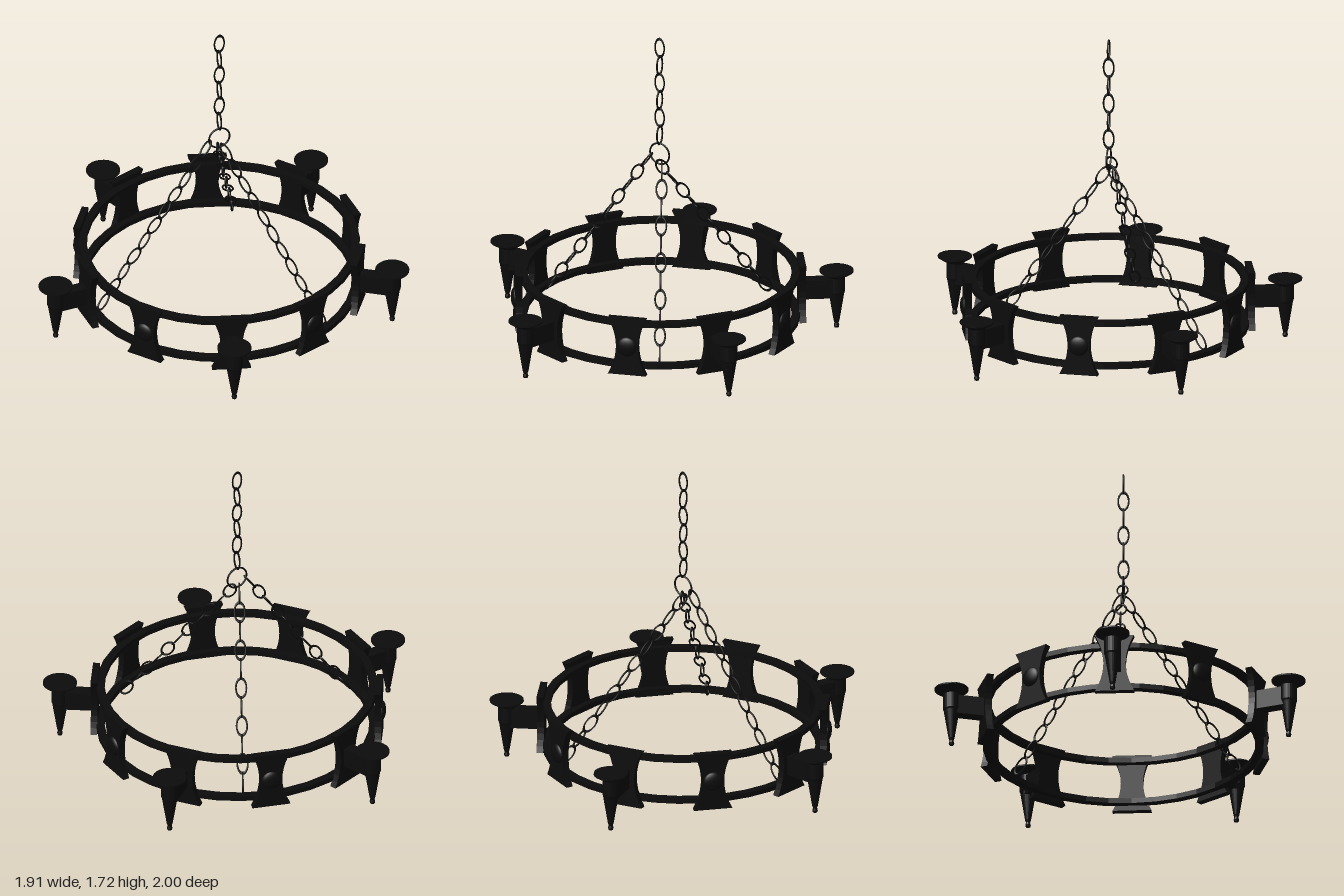
import * as THREE from 'three';

const RING_X = 0.09; // hub axis of the wheel
const iron = new THREE.MeshStandardMaterial({ color: 0x0c0c0c });
const ironFlat = new THREE.MeshStandardMaterial({ color: 0x0c0c0c, flatShading: true });

function part(name, geometry, material = iron) {
  const mesh = new THREE.Mesh(geometry, material);
  mesh.name = name;
  return mesh;
}

// Oval link lying in its local XY plane, long axis along Y
function linkGeometry() {
  return new THREE.TorusGeometry(0.03, 0.0048, 6, 20).scale(0.95, 1.72, 1);
}

// Row of links from a start point; each link is a quarter turn from the last
function chain(name, start, step, count, normal) {
  const group = new THREE.Group();
  group.name = name;
  const geometry = linkGeometry();
  const along = step.clone().normalize();
  const side = new THREE.Vector3().crossVectors(along, normal).normalize();
  const face = new THREE.Vector3().crossVectors(side, along);
  for (let i = 0; i < count; i++) {
    const link = part('chainLink', geometry);
    const basis = i % 2 === 0
      ? new THREE.Matrix4().makeBasis(side, along, face)
      : new THREE.Matrix4().makeBasis(face.clone().negate(), along, side);
    link.quaternion.setFromRotationMatrix(basis);
    link.position.copy(start).addScaledVector(step, i);
    group.add(link);
  }
  return group;
}

// Flat iron hoop with rectangular section
function hoopGeometry() {
  const h = 0.014, inner = 0.712, outer = 0.755;
  const profile = [[inner, -h], [outer, -h], [outer, h], [inner, h], [inner, -h]];
  return new THREE.LatheGeometry(profile.map(p => new THREE.Vector2(...p)), 36);
}

// Hourglass plate with concave sides, facing +z
function plateGeometry() {
  const w = 0.105, h = 0.163, s = new THREE.Shape();
  s.moveTo(-w, -h);
  s.lineTo(w, -h);
  s.quadraticCurveTo(0.015, 0, w, h);
  s.lineTo(-w, h);
  s.quadraticCurveTo(-0.015, 0, -w, -h);
  return new THREE.ExtrudeGeometry(s, { depth: 0.037, bevelEnabled: false, curveSegments: 10 });
}

// Torch cup: dish on a tapering body with a ball tip
function cupGeometry() {
  const profile = [[0, 0], [0.012, 0.005], [0.015, 0.016], [0.011, 0.03], [0.016, 0.045],
    [0.042, 0.205], [0.046, 0.215], [0.046, 0.3], [0.092, 0.329], [0.092, 0.337], [0, 0.337]];
  return new THREE.LatheGeometry(profile.map(p => new THREE.Vector2(...p)), 24);
}

export function createModel() {
  const model = new THREE.Group();
  model.name = 'wheelChandelier';
  const wheel = new THREE.Group();
  wheel.name = 'wheel';
  wheel.position.x = RING_X;
  model.add(wheel);

  // Upper and lower hoops
  const hoop = hoopGeometry();
  for (const [name, y] of [['lowerHoop', 0.118], ['upperHoop', 0.358]]) {
    const mesh = part(name, hoop, ironFlat);
    mesh.position.y = y;
    wheel.add(mesh);
  }

  // Ten plates, alternately carrying a boss or a torch arm
  const plate = plateGeometry(), cup = cupGeometry();
  const boss = new THREE.SphereGeometry(0.055, 20, 12).scale(1, 1, 0.4);
  const arm = new THREE.BoxGeometry(0.068, 0.107, 0.18);
  for (let i = 0; i < 10; i++) {
    const bay = new THREE.Group();
    bay.name = 'bay';
    bay.rotation.y = Math.PI / 2 + i * Math.PI / 5;
    const plateMesh = part('plate', plate, ironFlat);
    plateMesh.position.set(0, 0.239, 0.745);
    bay.add(plateMesh);
    if (i % 2) {
      const armMesh = part('torchArm', arm);
      armMesh.position.set(0, 0.238, 0.85);
      const cupMesh = part('torchCup', cup, ironFlat);
      cupMesh.position.set(0, 0, 0.953);
      bay.add(armMesh, cupMesh);
    } else {
      const bossMesh = part('boss', boss);
      bossMesh.position.set(0, 0.239, 0.78);
      bay.add(bossMesh);
    }
    wheel.add(bay);
  }

  // Hanging ring and vertical chain
  const ring = part('hangingRing', new THREE.TorusGeometry(0.06, 0.005, 8, 32));
  ring.position.y = 1.046;
  wheel.add(ring);
  wheel.add(chain('topChain', new THREE.Vector3(0, 1.155, 0),
    new THREE.Vector3(0, 0.101, 0), 6, new THREE.Vector3(1, 0, 0)));

  // Three sloping chains down to the lower hoop
  const up = new THREE.Vector3(0, 1, 0);
  wheel.add(chain('rightChain', new THREE.Vector3(-0.08, 0.995, 0),
    new THREE.Vector3(-0.0595, -0.084, 0), 11, up));
  for (const s of [-1, 1]) {
    const c = 0.5, k = s * 0.866;
    wheel.add(chain(s > 0 ? 'frontChain' : 'backChain',
      new THREE.Vector3(0.093 * c + s * 0.014, 0.88, 0.093 * k),
      new THREE.Vector3(0.063 * c, -0.0805, 0.063 * k), 10, up));
    // Link joining the chain to the hanging ring
    wheel.add(chain('joiningLink', new THREE.Vector3(0.03 * c + s * 0.014, 0.96, 0.03 * k),
      new THREE.Vector3(0.063 * c, -0.0805, 0.063 * k), 1, new THREE.Vector3(-k, 0, c)));
  }
  return model;
}
